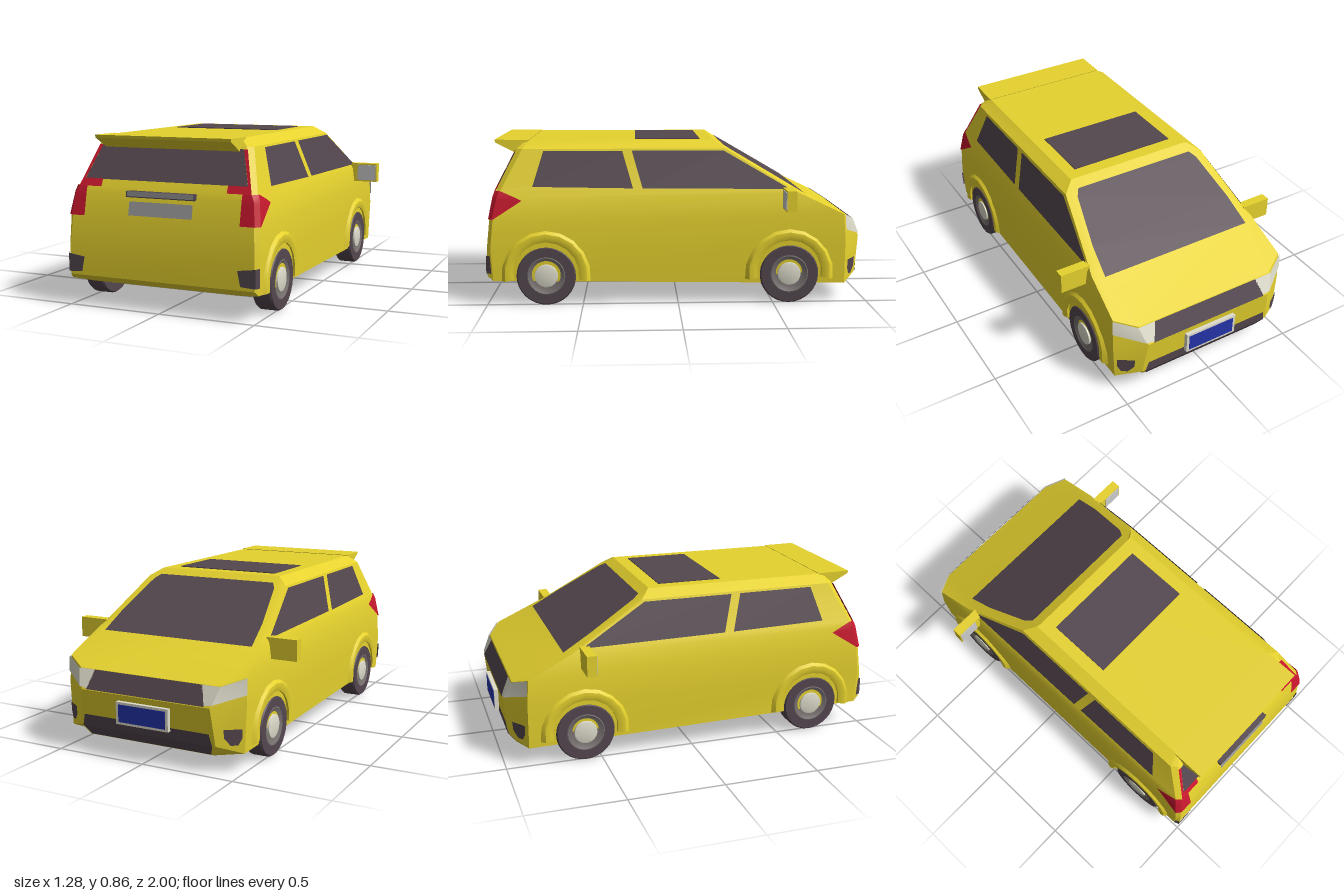
import * as THREE from 'three';
import { toCreasedNormals } from 'three/addons/utils/BufferGeometryUtils.js';

const YELLOW = 0xe6d22e, DARK = 0x54474f, RED = 0xc8182e, GREY = 0x9a9a9a, LIGHT = 0xdedccb, BLUE = 0x2434a8;

// Body levels, bottom to top; each has rear, rear corner, front corner and front points of the +x half
const LEVELS = [
  [[0.40, 0.12, 0.95], [0.42, 0.115, 0.93], [0.42, 0.085, -0.86], [0.36, 0.08, -0.92]],
  [[0.50, 0.155, 0.995], [0.51, 0.13, 0.965], [0.505, 0.1, -0.88], [0.39, 0.14, -0.96]],
  [[0.50, 0.30, 0.995], [0.515, 0.30, 0.975], [0.515, 0.33, -0.88], [0.37, 0.33, -0.98]],
  [[0.49, 0.45, 0.98], [0.512, 0.45, 0.96], [0.51, 0.47, -0.87], [0.40, 0.43, -0.935]],
  [[0.475, 0.57, 0.955], [0.495, 0.57, 0.93], [0.495, 0.58, -0.64], [0.46, 0.57, -0.67]],
  [[0.46, 0.60, 0.945], [0.485, 0.60, 0.92], [0.485, 0.60, -0.60], [0.45, 0.60, -0.62]],
  [[0.395, 0.81, 0.84], [0.42, 0.81, 0.81], [0.42, 0.81, -0.25], [0.375, 0.81, -0.262]],
  [[0.35, 0.85, 0.80], [0.36, 0.85, 0.78], [0.36, 0.85, -0.20], [0.34, 0.85, -0.195]],
];
const flip = ([x, y, z]) => [-x, y, z];
const mix = (a, b, t) => a.map((v, i) => v + (b[i] - v) * t);

// Point at height y on one of the four body edges
function edge(k, y) {
  let i = 0;
  while (i < LEVELS.length - 2 && LEVELS[i + 1][k][1] < y) i++;
  const a = LEVELS[i][k], b = LEVELS[i + 1][k];
  return mix(a, b, (y - a[1]) / (b[1] - a[1]));
}
// Points lying just outside the body surface
const E = 0.006;
const rear = (x, y) => [x, y, edge(0, y)[2] + E];
const front = (x, y) => [x, y, edge(3, y)[2] - E];
const side = (z, y) => [edge(1, y)[0] + E, y, z];
const out = ([x, y, z]) => [x + E, y, z + Math.sign(z) * E];

// Surface through rows of points
function skin(rows, crease = 0.3) {
  const v = [];
  for (let i = 0; i + 1 < rows.length; i++)
    for (let j = 0; j + 1 < rows[i].length; j++) {
      const a = rows[i][j], b = rows[i][j + 1], c = rows[i + 1][j + 1], d = rows[i + 1][j];
      v.push(...a, ...b, ...c, ...a, ...c, ...d);
    }
  const g = new THREE.BufferGeometry();
  g.setAttribute('position', new THREE.Float32BufferAttribute(v, 3));
  return toCreasedNormals(g, crease);
}

export function createModel() {
  const car = new THREE.Group();
  car.name = 'car';

  function add(name, geometry, color, pos = [0, 0, 0], open = false) {
    const mat = new THREE.MeshStandardMaterial({ color, side: open ? THREE.DoubleSide : THREE.FrontSide });
    const m = new THREE.Mesh(geometry, mat);
    m.name = name;
    m.position.set(...pos);
    car.add(m);
    return m;
  }
  const box = (name, size, pos, color) => add(name, new THREE.BoxGeometry(...size), color, pos);
  const panel = (name, rows, color) => add(name, skin(rows), color, [0, 0, 0], true);
  const pair = (name, rows, color) => {
    panel(name + 'Left', rows, color);
    panel(name + 'Right', rows.map(r => r.map(flip).reverse()), color);
  };
  const across = (fn, list) => list.map(([x, y]) => [fn(-x, y), fn(x, y)]);

  // Body shell, closed above and below
  const rings = LEVELS.map(l => [...l, ...[...l].reverse().map(flip), l[0]]);
  const cap = y => rings[0].map(() => [0, y, 0]);
  add('body', skin([cap(0.1), ...rings, cap(0.85)], 0.35), YELLOW);

  // Glass
  panel('windshield', across(front, [[0.435, 0.572], [0.42, 0.66], [0.37, 0.80], [0.345, 0.822]]), DARK);
  panel('rearWindow', across(rear, [[0.44, 0.635], [0.385, 0.80]]), DARK);
  box('sunroof', [0.59, 0.006, 0.345], [0, 0.851, 0.05], DARK);
  pair('frontSideWindow', [[side(0.185, 0.61), side(-0.585, 0.602)], [side(0.24, 0.8), side(-0.24, 0.8)]], DARK);
  pair('rearSideWindow', [[side(0.755, 0.62), side(0.235, 0.61)], [side(0.70, 0.8), side(0.29, 0.8)]], DARK);

  // Tail lights wrapping round the rear corners
  const tail = [[0.455, 0.42, 0], [0.55, 0.42, 0.81], [0.57, 0.42, 0.85], [0.60, 0.42, 0]];
  pair('tailLight', tail.map(([y, x, z]) =>
    [rear(x, y), out(edge(0, y)), out(edge(1, y)), side(z || edge(1, y)[2], y)]), RED);
  pair('tailLightArm', [[rear(0.34, 0.6), out(edge(0, 0.6))], [rear(0.34, 0.638), out(edge(0, 0.638))]], RED);
  pair('tailLightStrip', [[rear(0.44, 0.638), out(edge(0, 0.638))], [rear(0.385, 0.8), out(edge(0, 0.8))]], RED);

  // Rear fittings
  pair('rearReflector', [[rear(0.43, 0.175), out(edge(0, 0.17)), out(edge(1, 0.17))],
    [rear(0.415, 0.25), out(edge(0, 0.262)), out(edge(1, 0.265))]], DARK);
  box('tailgateHandle', [0.37, 0.03, 0.03], [0, 0.573, 0.96], DARK);
  panel('tailgateHandleFace', [[[-0.18, 0.563, 0.977], [0.18, 0.563, 0.977]], [[-0.18, 0.588, 0.977], [0.18, 0.588, 0.977]]], GREY);
  panel('rearPlate', across(rear, [[0.172, 0.47], [0.172, 0.537]]), GREY);

  // Wedge-shaped roof spoiler, extruded across the car
  const wedge = new THREE.Shape([[-0.78, 0.853], [-0.82, 0.77], [-0.955, 0.84], [-0.96, 0.855]].map(p => new THREE.Vector2(...p)));
  const spoiler = new THREE.ExtrudeGeometry(wedge, { depth: 0.73, bevelEnabled: false });
  spoiler.translate(0, 0, -0.365).rotateY(Math.PI / 2);
  add('spoiler', spoiler, YELLOW);

  // Nose
  panel('grille', across(front, [[0.34, 0.335], [0.31, 0.43]]), DARK);
  pair('headlight', [[front(0.335, 0.34), out(edge(3, 0.345)), out(edge(2, 0.39))],
    [front(0.305, 0.43), out(edge(3, 0.43)), out(edge(2, 0.47))]], LIGHT);
  panel('lowerBumper', across(front, [[0.35, 0.085], [0.375, 0.14], [0.36, 0.2]]), DARK);
  const corner = (t, y) => out(mix(edge(2, y), edge(3, y), t));
  pair('fogLamp', [[corner(0.25, 0.145), corner(0.5, 0.145)], [corner(0.12, 0.18), corner(0.7, 0.18)],
    [corner(0.12, 0.225), corner(0.7, 0.225)]], DARK);
  box('frontPlateFrame', [0.30, 0.115, 0.022], [0, 0.242, -0.987], LIGHT);
  box('frontPlate', [0.27, 0.09, 0.01], [0, 0.242, -0.995], BLUE);

  // Wheels and arches; profiles are [radius, x]
  const TIRE = [[0.105, 0.42], [0.148, 0.42], [0.155, 0.43], [0.155, 0.51], [0.148, 0.52], [0.1, 0.52], [0.095, 0.505]];
  const RIM = [[0, 0.425], [0.105, 0.425], [0.105, 0.517], [0.095, 0.521], [0.07, 0.508], [0.06, 0.508]];
  const HUB = [[0.062, 0.505], [0.06, 0.519], [0.05, 0.522], [0, 0.522]];
  const ARCH = [[0.168, 0.47], [0.172, 0.522], [0.195, 0.53], [0.215, 0.528], [0.238, 0.505]];
  for (const s of [1, -1])
    for (const [end, z] of [['rear', 0.69], ['front', -0.585]]) {
      const name = end + (s > 0 ? 'Left' : 'Right');
      for (const [part, profile, color] of [['Tire', TIRE, DARK], ['Rim', RIM, 0x77706f], ['Hub', HUB, LIGHT]]) {
        const g = new THREE.LatheGeometry(profile.map(p => new THREE.Vector2(...p)), 32);
        const wheel = add(name + part, toCreasedNormals(g, 0.5), color, [0, 0.155, z], true);
        wheel.rotation.z = -s * Math.PI / 2;
      }
      const rows = [];
      for (let i = 0; i <= 10; i++) {
        const a = (-0.05 + i * 0.11) * Math.PI;
        rows.push(ARCH.map(([r, x]) => [s * x, 0.163 + r * Math.sin(a), z + s * r * Math.cos(a)]));
      }
      add(name + 'WheelArch', skin(rows, 0.5), YELLOW, [0, 0, 0], true);
    }

  // Door mirrors
  for (const s of [1, -1]) {
    const name = 'mirror' + (s > 0 ? 'Left' : 'Right');
    box(name, [0.165, 0.108, 0.05], [s * 0.56, 0.557, -0.573], YELLOW);
    box(name + 'Glass', [0.11, 0.09, 0.006], [s * 0.582, 0.557, -0.547], 0xcccccc);
  }
  return car;
}
